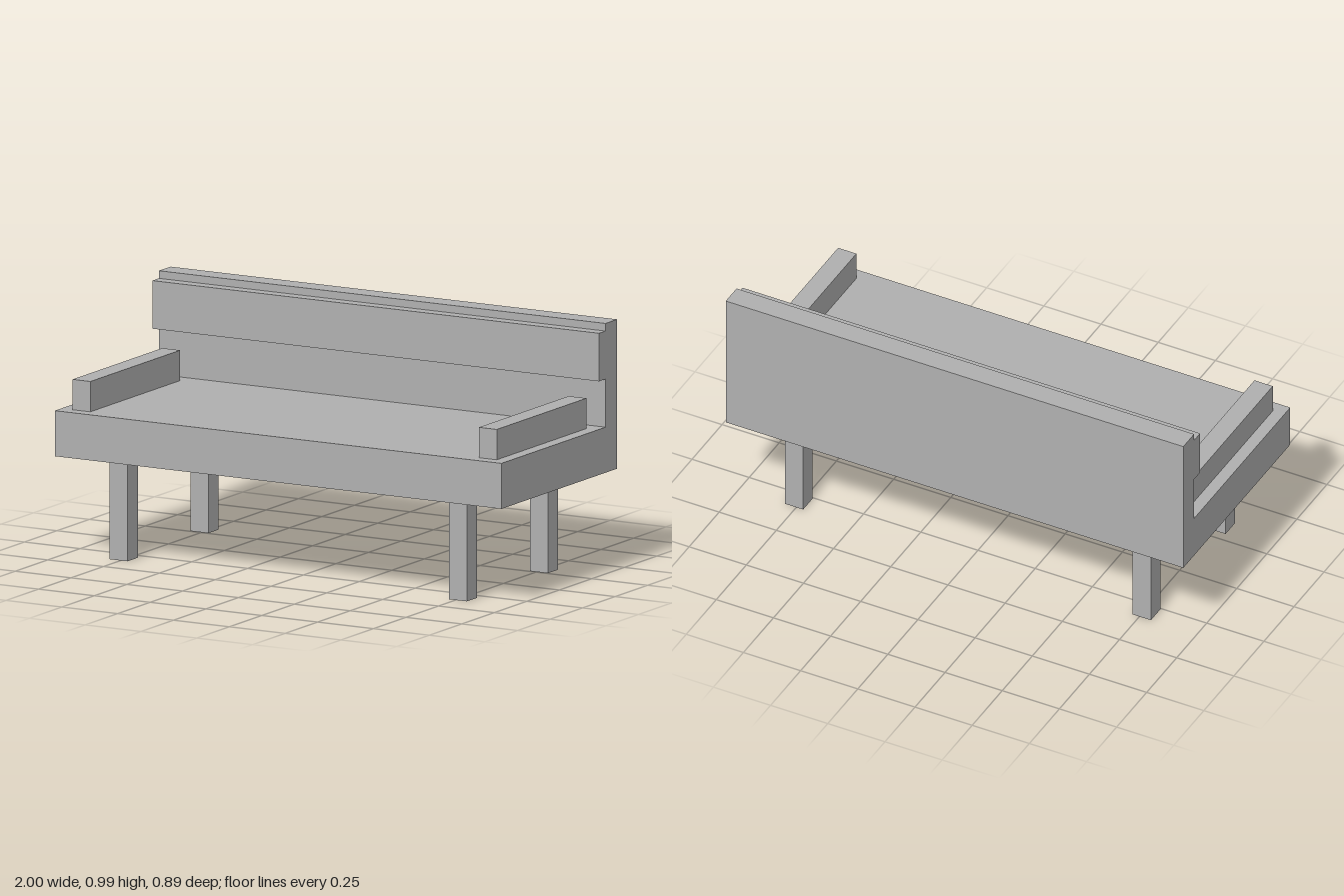
import * as THREE from 'three';

export function createModel() {
  const bench = new THREE.Group();
  bench.name = 'bench';
  const grey = new THREE.MeshStandardMaterial({ color: 0xb0b0b0 });
  grey.name = 'plain grey';

  // Box given by its lower and upper corners
  function box(name, [x0, y0, z0], [x1, y1, z1]) {
    const mesh = new THREE.Mesh(new THREE.BoxGeometry(x1 - x0, y1 - y0, z1 - z0), grey);
    mesh.position.set((x0 + x1) / 2, (y0 + y1) / 2, (z0 + z1) / 2);
    mesh.name = name;
    bench.add(mesh);
  }

  // Seat and backrest: one L-shaped side profile (z, y) run along the width
  const profile = new THREE.Shape([
    [0.445, 0.4], [0.445, 0.58], [-0.355, 0.58],
    [-0.355, 0.99], [-0.445, 0.99], [-0.445, 0.4],
  ].map(([z, y]) => new THREE.Vector2(-z, y)));
  const frame = new THREE.ExtrudeGeometry(profile, { depth: 2, bevelEnabled: false });
  frame.translate(0, 0, -1).rotateY(Math.PI / 2);
  const seat = new THREE.Mesh(frame, grey);
  seat.name = 'seatAndBackrest';
  bench.add(seat);

  // Raised board on the backrest
  box('backBoard', [-1, 0.77, -0.355], [1, 0.96, -0.305]);

  // Armrests and legs, mirrored left and right
  for (const [side, s] of [['left', 1], ['right', -1]]) {
    const span = (a, b) => (s > 0 ? [a, b] : [-b, -a]);
    const [a0, a1] = span(0.87, 0.95);
    box(side + 'Armrest', [a0, 0.58, -0.295], [a1, 0.7, 0.395]);
    const [l0, l1] = span(0.72, 0.8);
    box(side + 'FrontLeg', [l0, 0, 0.288], [l1, 0.4, 0.367]);
    box(side + 'BackLeg', [l0, 0, -0.334], [l1, 0.4, -0.255]);
  }
  return bench;
}
